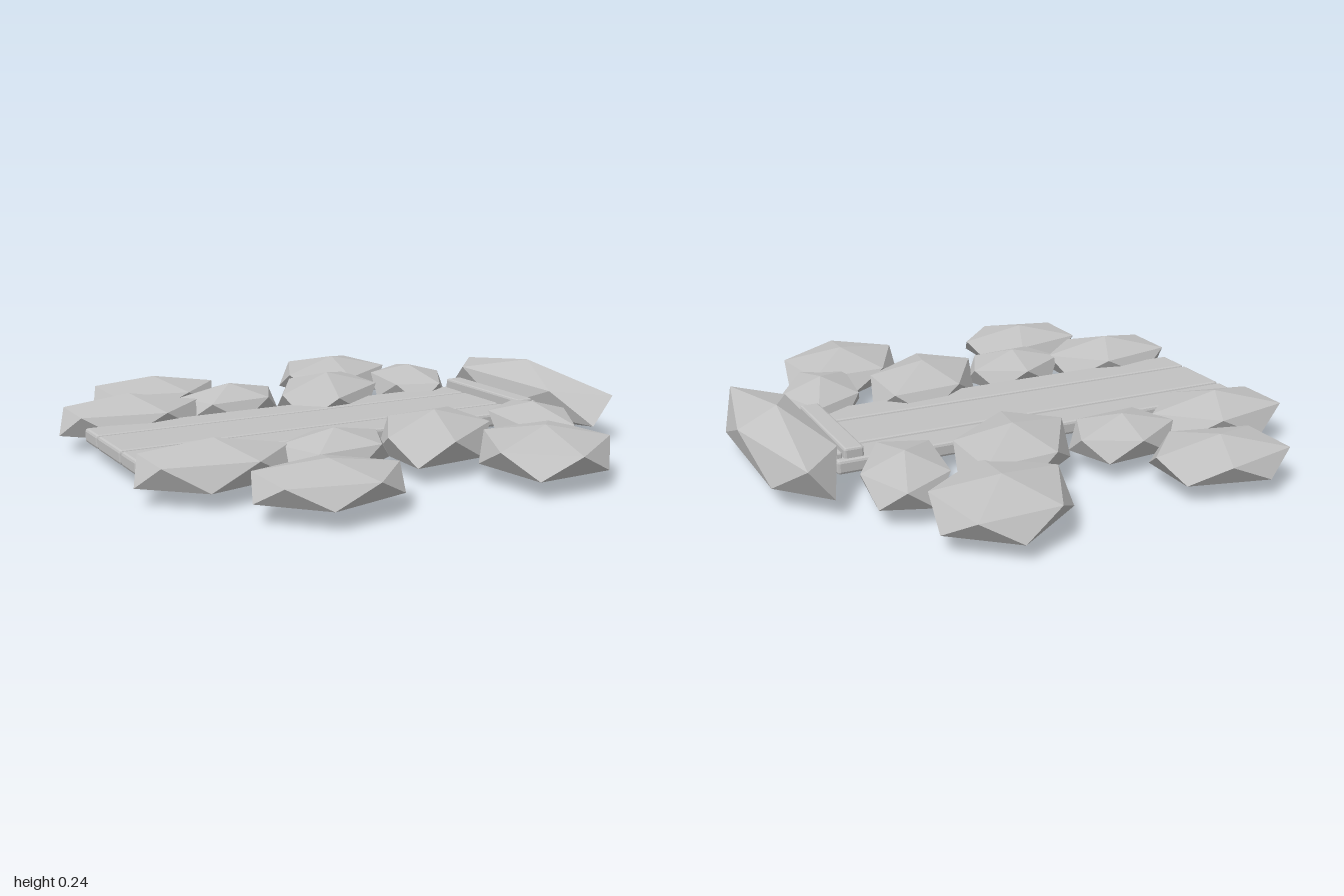
import * as THREE from 'three';
import { RoundedBoxGeometry } from 'three/addons/geometries/RoundedBoxGeometry.js';

export function createModel() {
  const model = new THREE.Group();
  const grey = new THREE.MeshStandardMaterial({ color: 0xc2c2c2 });
  grey.name = 'stoneGrey';
  grey.flatShading = true;

  // Low-poly boulder: icosahedron standing on a point, an upper ring corner facing +x
  const boulder = new THREE.IcosahedronGeometry(1, 0);
  boulder.rotateX(-Math.atan((1 + Math.sqrt(5)) / 2));
  boulder.rotateY(Math.PI / 2);

  function addRock(name, x, y, z, sx, sy, sz, degrees = 0) {
    const rock = new THREE.Mesh(boulder, grey);
    rock.name = name;
    rock.position.set(x, y, z);
    rock.scale.set(sx, sy, sz);
    rock.rotation.y = THREE.MathUtils.degToRad(degrees);
    model.add(rock);
  }

  // Side rocks: x, z at the back, z at the front, half sizes, turn
  const sideRocks = [
    ['outerRockSmall', -0.475, -0.735, 0.735, 0.28, 0.075, 0.217, 0],
    ['endRock', -0.697, -0.39, 0.387, 0.298, 0.09, 0.202, 0],
    ['smallRock', -0.28, -0.43, 0.415, 0.236, 0.08, 0.177, 19],
    ['middleRock', 0.12, -0.38, 0.4, 0.325, 0.094, 0.213, 47],
    ['narrowRock', 0.53, -0.427, 0.417, 0.275, 0.082, 0.168, 70],
    ['outerRockLarge', 0.338, -0.741, 0.736, 0.31, 0.084, 0.247, 49.6],
  ];
  for (const [name, x, zBack, zFront, sx, sy, sz, turn] of sideRocks) {
    addRock(name + 'Back', x, 0.1, zBack, sx, sy, sz, turn);
    addRock(name + 'Front', x, 0.1, zFront, sx, sy, sz, turn);
  }

  // Long rock closing the end of the boards
  addRock('headRock', 0.82, 0.123, 0, 0.155, 0.121, 0.543);

  // Chamfered board between two corners
  function addBoard(name, x0, x1, y0, y1, z0, z1, bevel) {
    const geometry = new RoundedBoxGeometry(x1 - x0, y1 - y0, z1 - z0, 1, bevel);
    const board = new THREE.Mesh(geometry, grey);
    board.name = name;
    board.position.set((x0 + x1) / 2, (y0 + y1) / 2, (z0 + z1) / 2);
    model.add(board);
  }

  // Three long planks
  [[-0.26, -0.128], [-0.12, 0.109], [0.117, 0.256]].forEach(([z0, z1], i) =>
    addBoard('plank' + (i + 1), -0.91, 0.7, 0.06, 0.11, z0, z1, 0.01));

  // Cross bars in front of the head rock
  addBoard('crossBarWide', 0.6, 0.67, 0.09, 0.145, -0.245, 0.235, 0.008);
  addBoard('crossBarNarrow', 0.673, 0.698, 0.09, 0.13, -0.235, 0.22, 0.006);

  return model;
}
